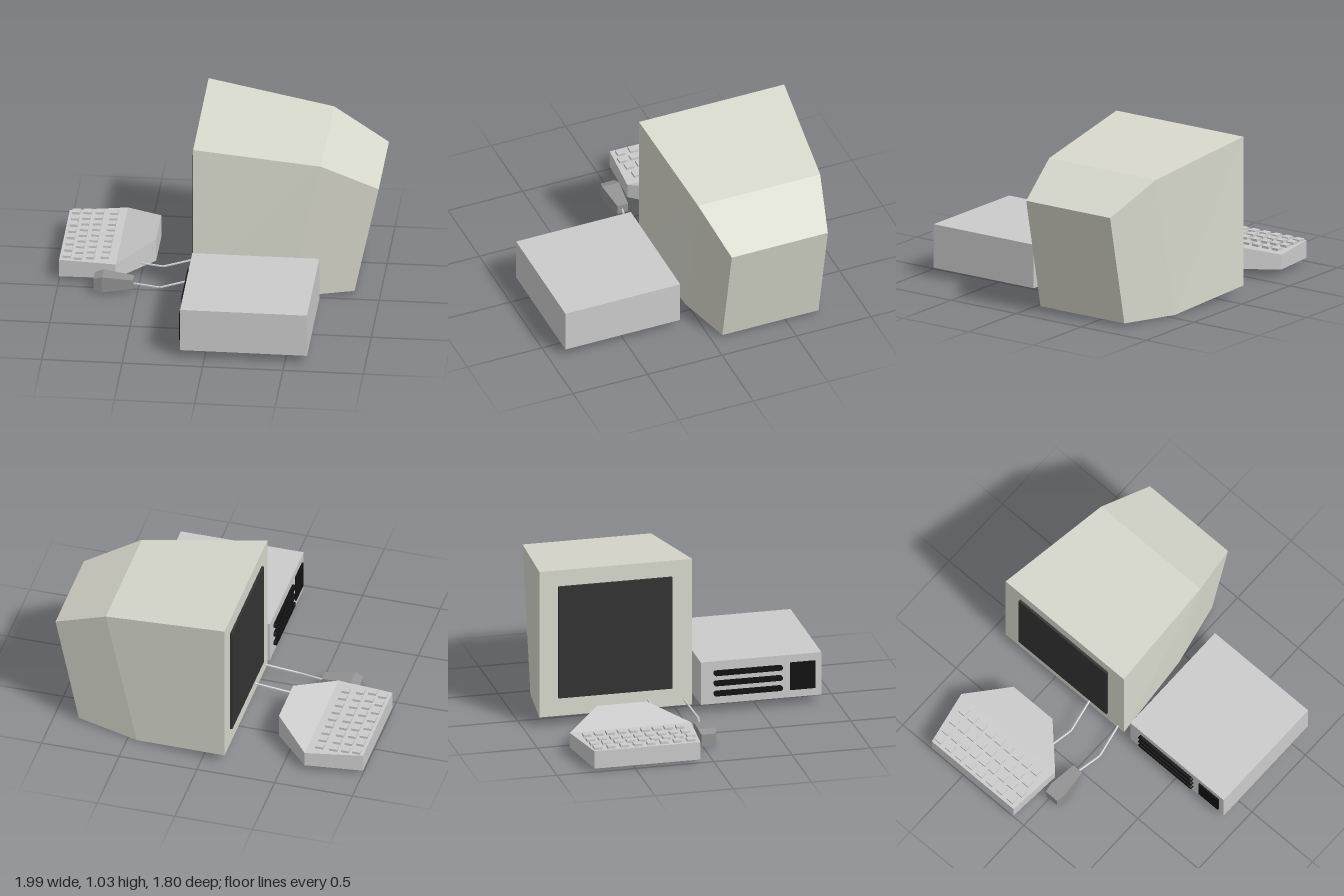
import * as THREE from 'three';

const material = (color) => new THREE.MeshStandardMaterial({ color, flatShading: true });
const grey = material(0xcccccc);
const casing = material(0xd8d9cd);
const dark = material(0x333333);
const black = material(0x111111);
const mouseGrey = material(0x939393);

function part(name, geometry, mat) {
  const mesh = new THREE.Mesh(geometry, mat);
  mesh.name = name;
  return mesh;
}

// Box from its minimum and maximum corners
function block(name, a, b, mat) {
  const mesh = part(name, new THREE.BoxGeometry(b[0] - a[0], b[1] - a[1], b[2] - a[2]), mat);
  mesh.position.set((a[0] + b[0]) / 2, (a[1] + b[1]) / 2, (a[2] + b[2]) / 2);
  return mesh;
}

// Four-cornered cross-section whose bottom and top may sit at different x
const section = (xLow, xHigh, y0, y1, z0, z1) => [
  [xLow, y0, z0], [xHigh, y1, z0], [xHigh, y1, z1], [xLow, y0, z1],
];

// Closed body through cross-sections ordered along +x
function loft(sections) {
  const p = [];
  const n = sections[0].length;
  for (let s = 0; s < sections.length - 1; s++) {
    const a = sections[s], b = sections[s + 1];
    for (let i = 0; i < n; i++) {
      const j = (i + 1) % n;
      p.push(...a[i], ...a[j], ...b[i], ...a[j], ...b[j], ...b[i]);
    }
  }
  const first = sections[0], last = sections[sections.length - 1];
  for (let i = 1; i < n - 1; i++) {
    p.push(...first[0], ...first[i + 1], ...first[i]);
    p.push(...last[0], ...last[i], ...last[i + 1]);
  }
  const g = new THREE.BufferGeometry();
  g.setAttribute('position', new THREE.Float32BufferAttribute(p, 3));
  g.computeVertexNormals();
  return g;
}

// Cable with straight segments
function cable(name, points) {
  const path = new THREE.CurvePath();
  const v = points.map((q) => new THREE.Vector3(...q));
  for (let i = 0; i < v.length - 1; i++) path.add(new THREE.LineCurve3(v[i], v[i + 1]));
  return part(name, new THREE.TubeGeometry(path, 24, 0.007, 6, false), grey);
}

function createMonitor() {
  const g = new THREE.Group();
  g.name = 'monitor';
  g.add(part('monitorCasing', loft([
    section(-0.15, -0.15, 0.07, 1.03, -0.9, 0.075),
    section(0.44, 0.64, 0.003, 0.92, -0.81, 0.01),
    section(0.84, 0.99, 0.025, 0.74, -0.715, -0.07),
  ]), casing));
  g.add(block('screen', [-0.166, 0.19, -0.78], [-0.14, 0.925, -0.055], dark));
  return g;
}

function createComputer() {
  const g = new THREE.Group();
  g.name = 'computer';
  g.add(block('computerCase', [-0.15, 0.06, 0.13], [0.64, 0.34, 0.9], grey));
  // Three round-ended drive slots
  const r = 0.016, half = 0.22 - r;
  const slot = new THREE.Shape();
  slot.absarc(half, 0, r, -Math.PI / 2, Math.PI / 2, false);
  slot.absarc(-half, 0, r, Math.PI / 2, Math.PI * 1.5, false);
  const slotGeometry = new THREE.ExtrudeGeometry(slot, { depth: 0.03, bevelEnabled: false, curveSegments: 8 });
  slotGeometry.rotateY(-Math.PI / 2);
  for (const y of [0.13, 0.197, 0.264]) {
    const m = part('driveSlot', slotGeometry, black);
    m.position.set(-0.14, y, 0.43);
    g.add(m);
  }
  g.add(block('ventPanel', [-0.16, 0.11, 0.7], [-0.14, 0.29, 0.86], black));
  return g;
}

function createKeyboard() {
  const g = new THREE.Group();
  g.name = 'keyboard';
  g.add(part('keyboardBody', loft([
    section(-1, -1, 0.025, 0.14, -0.76, -0.085),
    section(-0.645, -0.645, 0.045, 0.14, -0.83, -0.055),
    section(-0.415, -0.415, 0.063, 0.215, -0.6, -0.28),
  ]), grey));
  // Key columns: x, first z, last z, count
  const columns = [
    [-0.955, -0.73, -0.137, 8], [-0.885, -0.735, -0.12, 9],
    [-0.81, -0.74, -0.135, 9], [-0.72, -0.74, -0.147, 9],
  ];
  const keyGeometry = new THREE.BoxGeometry(0.05, 0.025, 0.05);
  for (const [x, z0, z1, count] of columns) {
    for (let i = 0; i < count; i++) {
      const key = part('key', keyGeometry, grey);
      key.position.set(x, 0.143, z0 + ((z1 - z0) * i) / (count - 1));
      g.add(key);
    }
  }
  return g;
}

export function createModel() {
  const model = new THREE.Group();
  model.name = 'desktopComputer';
  model.add(createMonitor(), createComputer(), createKeyboard());

  model.add(part('mouse', loft([
    section(-0.77, -0.77, 0.02, 0.1, -0.022, 0.072),
    section(-0.715, -0.715, 0.015, 0.118, -0.028, 0.085),
    section(-0.525, -0.525, 0.035, 0.095, -0.01, 0.062),
  ]), mouseGrey));

  model.add(cable('keyboardCable', [[-0.5, 0.083, -0.2], [-0.36, 0.08, -0.175], [-0.14, 0.13, -0.21]]));
  model.add(cable('mouseCable', [[-0.54, 0.06, 0.027], [-0.36, 0.055, 0.062], [-0.14, 0.105, 0.025]]));
  return model;
}
